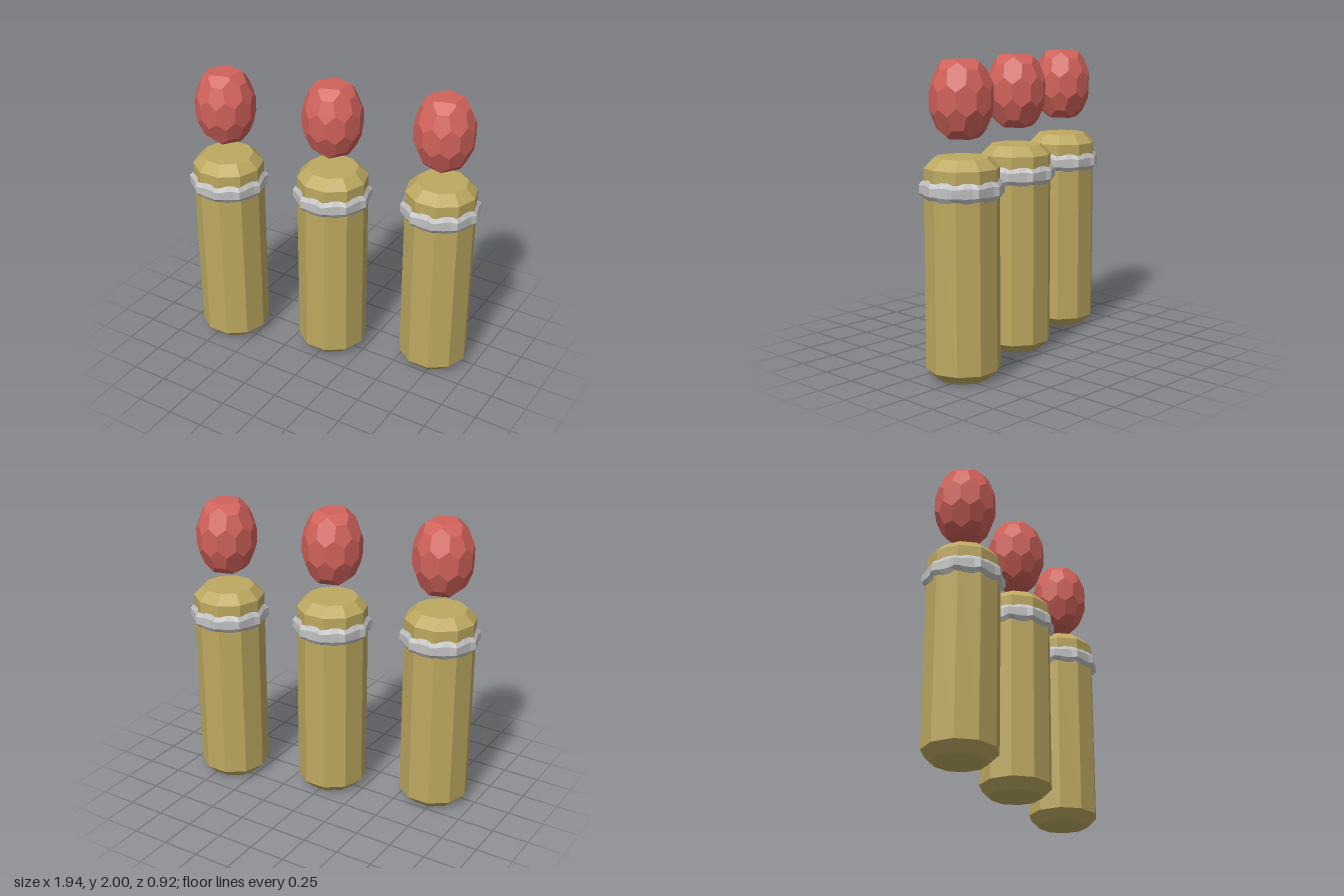
import * as THREE from 'three';
import { ConvexGeometry } from 'three/addons/geometries/ConvexGeometry.js';

const gold = new THREE.MeshStandardMaterial({ color: 0xbda960 });
gold.name = 'gold wax';
const silver = new THREE.MeshStandardMaterial({ color: 0xc2c2c2 });
silver.name = 'silver band';
const red = new THREE.MeshStandardMaterial({ color: 0xd0625a });
red.name = 'red flame';

// Faceted normals for low-poly parts
function faceted(geometry) {
  const flat = geometry.toNonIndexed();
  flat.computeVertexNormals();
  return flat;
}

function lathe(profile, segments, start = 0) {
  return new THREE.LatheGeometry(profile.map(p => new THREE.Vector2(...p)), segments, start);
}

// Ten-sided stick with bevelled ends
function bodyGeometry() {
  const profile = [[0, 0], [0.172, 0], [0.238, 0.065], [0.238, 1.34], [0.172, 1.405], [0, 1.405]];
  return faceted(lathe(profile, 10, Math.PI / 10));
}

// Ten-sided collar with clipped corners, a little lower at each corner
function bandGeometry() {
  const steps = [-4, 4, 12, 24];
  const rows = [[0.228, -1], [0.247, -0.5], [0.247, 0.5], [0.228, 1]];
  const g = lathe(rows, 40);
  const pos = g.attributes.position;
  for (let i = 0; i < pos.count; i++) {
    const column = Math.floor(i / rows.length);
    const [apothem, level] = rows[i % rows.length];
    const local = steps[column % 4];
    const angle = THREE.MathUtils.degToRad(Math.floor(column / 4) * 36 + local + 18);
    const radius = apothem / Math.cos(THREE.MathUtils.degToRad(18 - local));
    const half = column % 4 < 2 ? 0.052 : 0.062;
    pos.setXYZ(i, radius * Math.sin(angle), 1.21 + level * half, radius * Math.cos(angle));
  }
  return faceted(g);
}

// Five points round the y axis
function ring(radius, y, startDegrees) {
  return Array.from({ length: 5 }, (_, i) => {
    const a = THREE.MathUtils.degToRad(startDegrees + 72 * i);
    return new THREE.Vector3(radius * Math.cos(a), y, radius * Math.sin(a));
  });
}

// Stretched rhombic gem with its five-sided tips cut off
function flameGeometry() {
  const corners = [
    ...ring(1.051, 1.376, 180), ...ring(1.701, 0.325, 180),
    ...ring(1.701, -0.325, 0), ...ring(1.051, -1.376, 0),
  ];
  const poles = [new THREE.Vector3(0, 1.902, 0), new THREE.Vector3(0, -1.902, 0)];
  const tips = [...poles, ...ring(1.701, 0.851, 0), ...ring(1.701, -0.851, 180)];
  const points = [...corners];
  for (const tip of tips) {
    const cut = poles.includes(tip) ? 0.85 : 0.5;
    for (const c of corners) {
      if (tip.distanceTo(c) < 1.2) points.push(tip.clone().lerp(c, cut));
    }
  }
  const g = new ConvexGeometry(points);
  g.scale(0.1176, 0.165, 0.1176);
  g.translate(0, 1.76, 0);
  return g;
}

export function createModel() {
  const model = new THREE.Group();
  model.name = 'candles';
  const parts = [
    ['body', bodyGeometry(), gold],
    ['band', bandGeometry(), silver],
    ['flame', flameGeometry(), red],
  ];
  // Three equal candles in a slanting row
  ['rightCandle', 'middleCandle', 'leftCandle'].forEach((name, i) => {
    const candle = new THREE.Group();
    candle.name = name;
    candle.position.set((i - 1) * 0.703, 0, (1 - i) * 0.2);
    for (const [part, geometry, material] of parts) {
      const mesh = new THREE.Mesh(geometry, material);
      mesh.name = part;
      candle.add(mesh);
    }
    model.add(candle);
  });
  return model;
}
